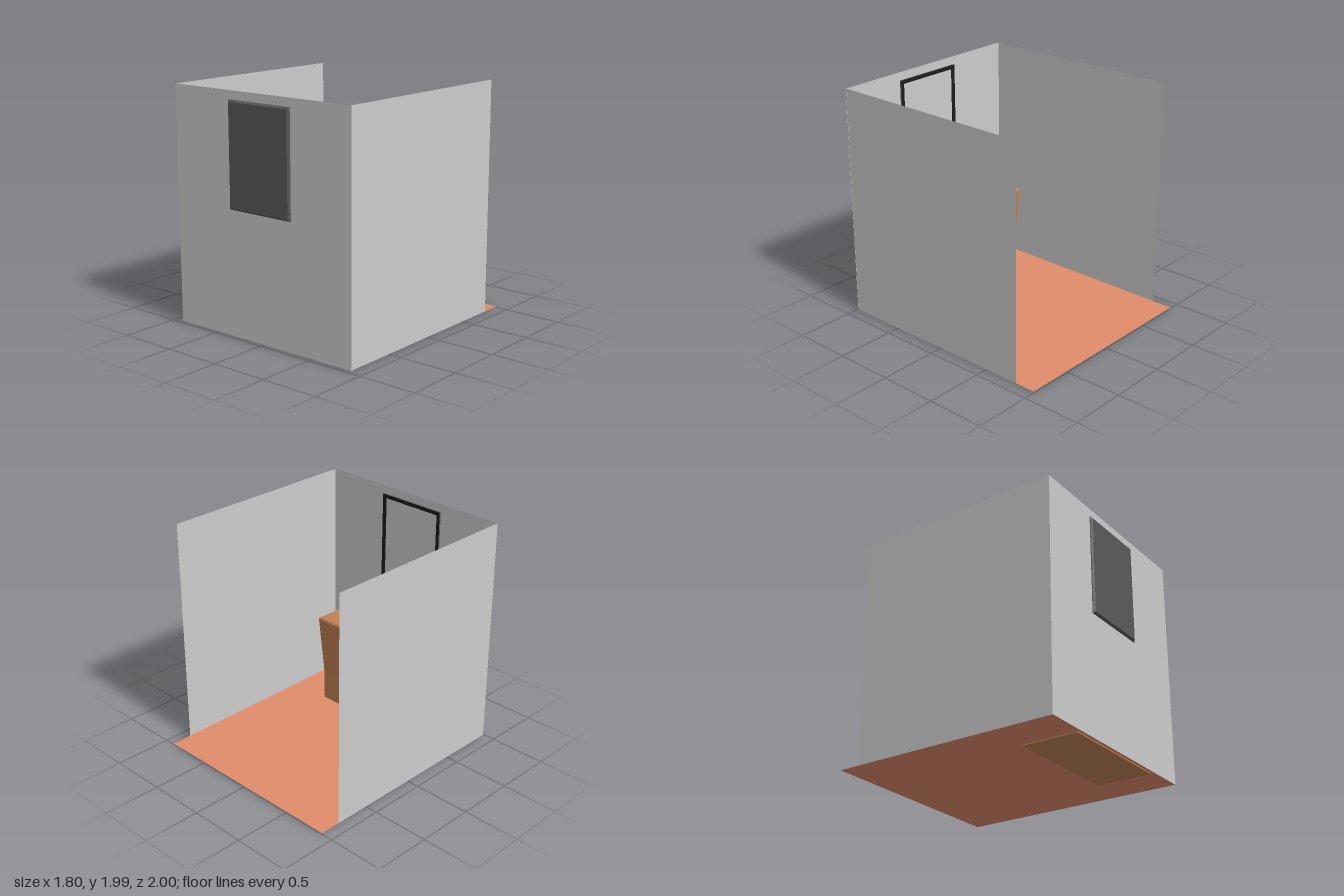
import * as THREE from 'three';

const mat = (color, extra = {}) => new THREE.MeshStandardMaterial({ color, ...extra });
const DOUBLE = { side: THREE.DoubleSide };

function add(parent, name, geometry, material, x = 0, y = 0, z = 0) {
  const mesh = new THREE.Mesh(geometry, material);
  mesh.name = name;
  mesh.position.set(x, y, z);
  parent.add(mesh);
  return mesh;
}

// Skin a stack of equal-length closed rings of [x, y, z] points
function loft(rings) {
  const n = rings[0].length, index = [];
  for (let i = 0; i < rings.length - 1; i++) {
    for (let j = 0; j < n; j++) {
      const k = (j + 1) % n;
      const a = i * n + j, b = i * n + k, c = a + n, d = b + n;
      index.push(a, c, b, b, c, d);
    }
  }
  const g = new THREE.BufferGeometry();
  g.setAttribute('position', new THREE.Float32BufferAttribute(rings.flat(2), 3));
  g.setIndex(index);
  g.computeVertexNormals();
  return g;
}

// Egg-shaped ring: elliptical toward the user, squarer toward the wall
function egg(y, cz, rx, rzNear, rzWall, power = 2) {
  return Array.from({ length: 64 }, (_, i) => {
    const t = i / 64 * Math.PI * 2, c = Math.cos(t), s = Math.sin(t);
    const e = s > 0 ? 2 / power : 1;
    return [Math.sign(c) * Math.abs(c) ** e * rx, y,
      cz + Math.sign(s) * Math.abs(s) ** e * (s > 0 ? rzWall : rzNear)];
  });
}

const rect = (y, x, z0, z1) => [[x, y, z0], [x, y, z1], [-x, y, z1], [-x, y, z0]];

function makeRoom() {
  const room = new THREE.Group();
  room.name = 'room';
  const wall = mat(0xcccccc, DOUBLE);
  const floor = add(room, 'floor', new THREE.PlaneGeometry(1.8, 1.98), mat(0xe08c6a, DOUBLE), 0, 0.01, -0.01);
  floor.rotation.x = -Math.PI / 2;
  add(room, 'mirrorWall', new THREE.PlaneGeometry(1.805, 1.98), wall, 0, 1, 0.98);
  for (const s of [-1, 1]) {
    const side = add(room, s > 0 ? 'leftWall' : 'rightWall', new THREE.PlaneGeometry(1.8, 1.98), wall, s * 0.9, 1, 0.08);
    side.rotation.y = s * Math.PI / 2;
  }
  return room;
}

function makeCabinet() {
  const cabinet = new THREE.Group();
  cabinet.name = 'cabinet';
  const wood = mat(0xc08050, DOUBLE);
  // Tapered body with a softened top edge
  const body = loft([
    rect(0, 0.54, 0.475, 0.955), rect(0.3, 0.543, 0.472, 0.957),
    rect(0.805, 0.58, 0.445, 0.97), rect(0.82, 0.572, 0.453, 0.962),
  ]).toNonIndexed();
  body.computeVertexNormals();
  add(cabinet, 'cabinetBody', body, wood);
  const base = add(cabinet, 'cabinetBase', new THREE.PlaneGeometry(1.08, 0.48), wood, 0, 0, 0.715);
  base.rotation.x = Math.PI / 2;
  // Countertop with the basin cut out
  const top = new THREE.Shape(rect(0, 0.572, 0.453, 0.962).map(p => new THREE.Vector2(p[0], -p[2])));
  top.holes.push(new THREE.Path(egg(0, 0.68, 0.205, 0.19, 0.245, 2.5).map(p => new THREE.Vector2(p[0], -p[2]))));
  const counter = new THREE.ShapeGeometry(top);
  counter.rotateX(-Math.PI / 2);
  add(cabinet, 'countertop', counter, wood, 0, 0.82, 0);
  return cabinet;
}

function makeSink() {
  const sink = new THREE.Group();
  sink.name = 'sink';
  // Rim rises from the counter, then drops into the bowl
  add(sink, 'basin', loft([
    egg(0.815, 0.68, 0.215, 0.2, 0.255, 2.5), egg(0.828, 0.68, 0.22, 0.205, 0.26, 2.5),
    egg(0.838, 0.68, 0.213, 0.198, 0.253, 2.5), egg(0.838, 0.67, 0.193, 0.165, 0.165),
    egg(0.832, 0.67, 0.185, 0.157, 0.155), egg(0.79, 0.668, 0.178, 0.148, 0.148),
    egg(0.74, 0.665, 0.16, 0.132, 0.132), egg(0.715, 0.663, 0.125, 0.1, 0.1),
    egg(0.702, 0.66, 0.07, 0.06, 0.06), egg(0.7, 0.66, 0.02, 0.02, 0.02),
  ]), mat(0xcccccc, DOUBLE));
  // Drain with a ring of holes
  const dark = mat(0x222222);
  add(sink, 'drain', new THREE.CylinderGeometry(0.03, 0.03, 0.008, 24), mat(0x9a5a48), 0, 0.703, 0.66);
  for (let i = 0; i < 6; i++) {
    const t = i / 6 * Math.PI * 2;
    add(sink, 'drainHole', new THREE.CylinderGeometry(0.006, 0.006, 0.002, 10), dark,
      Math.cos(t) * 0.017, 0.708, 0.66 + Math.sin(t) * 0.017);
  }
  return sink;
}

function makeFaucet() {
  const faucet = new THREE.Group();
  faucet.name = 'faucet';
  const metal = mat(0x444444);
  // Crescent base plate hugging the bowl
  const plate = new THREE.Shape();
  plate.moveTo(-0.125, -0.825);
  plate.quadraticCurveTo(0, -0.875, 0.125, -0.825);
  plate.bezierCurveTo(0.165, -0.825, 0.13, -0.92, 0.06, -0.92);
  plate.lineTo(-0.06, -0.92);
  plate.bezierCurveTo(-0.13, -0.92, -0.165, -0.825, -0.125, -0.825);
  const base = new THREE.ExtrudeGeometry(plate, {
    depth: 0.012, bevelSize: 0.004, bevelThickness: 0.004, bevelSegments: 2, curveSegments: 16,
  });
  base.rotateX(-Math.PI / 2);
  add(faucet, 'faucetBase', base, metal, 0, 0.836, 0);
  add(faucet, 'faucetColumn', new THREE.CylinderGeometry(0.027, 0.033, 0.09, 24), metal, 0, 0.89, 0.88);
  // Spout reaches out over the bowl and turns down
  const path = new THREE.CatmullRomCurve3([[0.91, 0.88], [0.925, 0.83], [0.925, 0.77], [0.91, 0.745], [0.89, 0.74]]
    .map(([y, z]) => new THREE.Vector3(0, y, z)));
  add(faucet, 'spout', new THREE.TubeGeometry(path, 24, 0.021, 16), metal);
  const tip = add(faucet, 'spoutTip', new THREE.CircleGeometry(0.021, 16), metal, 0, 0.89, 0.74);
  tip.rotation.x = Math.PI / 2;
  const cap = add(faucet, 'faucetCap', new THREE.SphereGeometry(0.027, 24, 12), metal, 0, 0.935, 0.88);
  cap.scale.y = 0.7;
  const lever = add(faucet, 'lever', new THREE.BoxGeometry(0.024, 0.01, 0.09), metal, 0, 0.962, 0.85);
  lever.rotation.x = 0.2;
  return faucet;
}

function makeCup() {
  const cup = new THREE.Group();
  cup.name = 'cup';
  cup.position.set(-0.245, 0.82, 0.825);
  const profile = [[0, 0], [0.034, 0], [0.037, 0.01], [0.04, 0.085], [0.036, 0.093], [0.025, 0.093], [0.023, 0.06]];
  add(cup, 'cupBody', new THREE.LatheGeometry(profile.map(p => new THREE.Vector2(...p)), 32), mat(0xcccccc, DOUBLE));
  add(cup, 'cupInside', new THREE.CylinderGeometry(0.024, 0.024, 0.02, 24), mat(0x333333), 0, 0.07, 0);
  return cup;
}

function makeMirror() {
  const mirror = new THREE.Group();
  mirror.name = 'mirror';
  mirror.position.set(0, 1.485, 0);
  const box = (z, inset) => {
    const x = 0.316 - inset, y = 0.434 - inset;
    return [[x, -y, z], [x, y, z], [-x, y, z], [-x, -y, z]];
  };
  // Chamfered back, square sides, inner lip sloping to the glass
  const frame = loft([box(1, 0.016), box(0.985, 0), box(0.966, 0)].reverse()).toNonIndexed();
  frame.computeVertexNormals();
  add(mirror, 'mirrorFrame', frame, mat(0x5a5a5a, DOUBLE));
  add(mirror, 'mirrorBack', new THREE.PlaneGeometry(0.6, 0.836), mat(0x5a5a5a, DOUBLE), 0, 0, 1);
  const lip = loft([box(0.966, 0), box(0.966, 0.032), box(0.972, 0.036)]).toNonIndexed();
  lip.computeVertexNormals();
  add(mirror, 'mirrorLip', lip, mat(0x1c1c1c, DOUBLE));
  add(mirror, 'mirrorGlass', new THREE.PlaneGeometry(0.56, 0.796), mat(0xcccccc, DOUBLE), 0, 0, 0.972);
  return mirror;
}

export function createModel() {
  const model = new THREE.Group();
  model.name = 'washroom';
  model.add(makeRoom(), makeCabinet(), makeSink(), makeFaucet(), makeCup(), makeMirror());
  return model;
}
